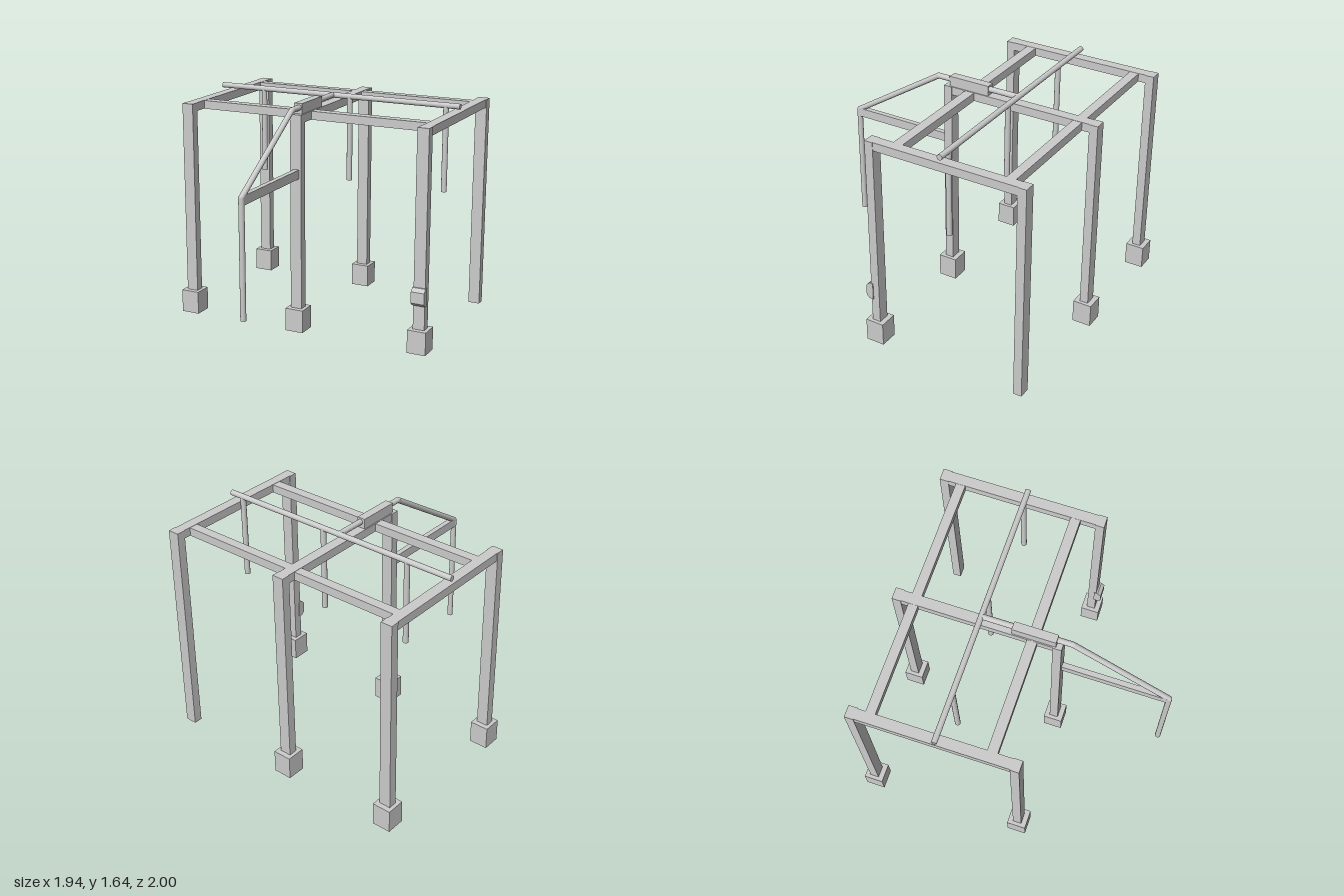
import * as THREE from 'three';

const material = new THREE.MeshStandardMaterial({ color: 0xcccccc });

export function createModel() {
  const model = new THREE.Group();

  const add = (name, geometry) => {
    const mesh = new THREE.Mesh(geometry, material);
    mesh.name = name;
    model.add(mesh);
    return mesh;
  };

  // Box given by its minimum and maximum along each axis
  const box = (name, [x0, x1], [y0, y1], [z0, z1]) =>
    add(name, new THREE.BoxGeometry(x1 - x0, y1 - y0, z1 - z0))
      .position.set((x0 + x1) / 2, (y0 + y1) / 2, (z0 + z1) / 2);

  // Round pipe between two points
  const radius = 0.02;
  const pipe = (name, a, b) => {
    const from = new THREE.Vector3(...a);
    const to = new THREE.Vector3(...b);
    const dir = to.clone().sub(from);
    const mesh = add(name, new THREE.CylinderGeometry(radius, radius, dir.length(), 16));
    mesh.position.copy(from).add(to).multiplyScalar(0.5);
    mesh.quaternion.setFromUnitVectors(new THREE.Vector3(0, 1, 0), dir.normalize());
  };

  // Three frames: two posts joined by a roof beam, on block footings
  const top = 1.572;
  const frames = [['right', -0.906], ['middle', -0.04], ['left', 0.897]];
  for (const [side, x] of frames) {
    for (const [end, z] of [['Front', 0.19], ['Back', -0.928]]) {
      const bare = side === 'left' && end === 'Back';
      box(side + end + 'Post', [x - 0.042, x + 0.042], [bare ? 0 : 0.01, top], [z - 0.031, z + 0.031]);
      if (!bare) box(side + end + 'Footing', [x - 0.068, x + 0.068], [0.005, 0.172], [z - 0.068, z + 0.068]);
    }
    box(side + 'RoofBeam', [x - 0.038, x + 0.038], [1.512, top], [-0.957, 0.219]);
  }

  // Cross beams between the frames
  box('backCrossBeam', [-0.9, 0.89], [1.51, top - 0.002], [-0.842, -0.775]);
  box('frontCrossBeam', [-0.9, 0.89], [1.51, top - 0.002], [-0.018, 0.053]);

  // Header pipe with hanging drops
  const pipeY = 1.615, pipeZ = -0.347;
  pipe('headerPipe', [-0.945, pipeY, pipeZ], [0.94, pipeY, pipeZ]);
  for (const x of [-0.595, 0.103, 0.836]) {
    pipe('dropPipe', [x, pipeY, pipeZ], [x, 1.0, pipeZ]);
  }

  // Feed pipe: over the roof, sloping forward, then straight down
  const feedX = -0.033;
  const path = [[pipeY, pipeZ], [pipeY, 0.285], [1.172, 0.98], [0.337, 0.98]]
    .map(([y, z]) => [feedX, y, z]);
  for (let i = 0; i < path.length - 1; i++) {
    pipe('feedPipe', path[i], path[i + 1]);
    if (i > 0) add('feedPipeElbow', new THREE.SphereGeometry(radius, 16, 12)).position.set(...path[i]);
  }

  // Bracket arm holding the feed pipe, and the clamp block on the roof beam
  box('bracketArm', [feedX - 0.019, feedX + 0.019], [1.124, 1.188], [0.21, 0.97]);
  box('pipeClampBlock', [-0.07, -0.009], [1.57, 1.645], [-0.125, 0.18]);

  // Control box with chamfered front edges on the left front post
  const profile = new THREE.Shape([
    [0.205, 0.347], [0.233, 0.347], [0.258, 0.37], [0.258, 0.45], [0.233, 0.474], [0.205, 0.474],
  ].map(([z, y]) => new THREE.Vector2(z, y)));
  const control = new THREE.ExtrudeGeometry(profile, { depth: 0.096, bevelEnabled: false });
  control.rotateY(-Math.PI / 2);
  add('controlBox', control).position.x = 0.946;

  return model;
}
